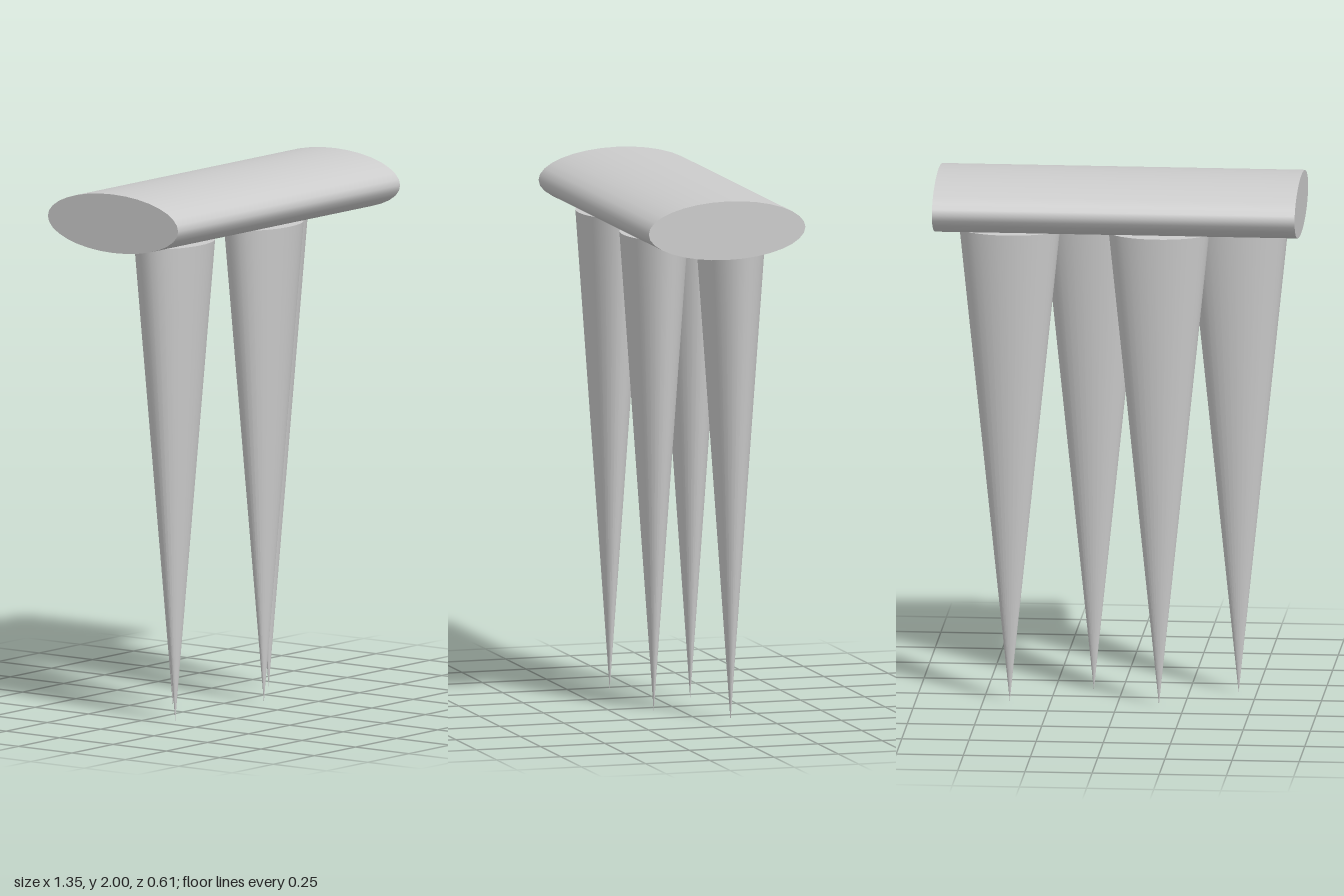
import * as THREE from 'three';

export function createModel() {
  const group = new THREE.Group();
  const material = new THREE.MeshStandardMaterial({ color: 0xcccccc });

  // Flattened elliptical bar lying along x
  const barGeometry = new THREE.CylinderGeometry(1, 1, 1.35, 32);
  barGeometry.rotateZ(Math.PI / 2);
  barGeometry.scale(1, 0.11, 0.305);
  const bar = new THREE.Mesh(barGeometry, material);
  bar.name = 'bar';
  bar.position.y = 1.89;
  group.add(bar);

  // Oval spikes pointing down, slightly sunk into the bar
  const height = 1.8;
  const spikeGeometry = new THREE.ConeGeometry(1, height, 32);
  spikeGeometry.rotateX(Math.PI);
  spikeGeometry.scale(0.187, 1, 0.12);
  const spots = [[-0.433, 0.105], [0.106, 0.105], [-0.155, -0.12], [0.402, -0.1]];
  spots.forEach(([x, z], i) => {
    const spike = new THREE.Mesh(spikeGeometry, material);
    spike.name = `spike${i + 1}`;
    spike.position.set(x, height / 2, z);
    group.add(spike);
  });

  return group;
}
